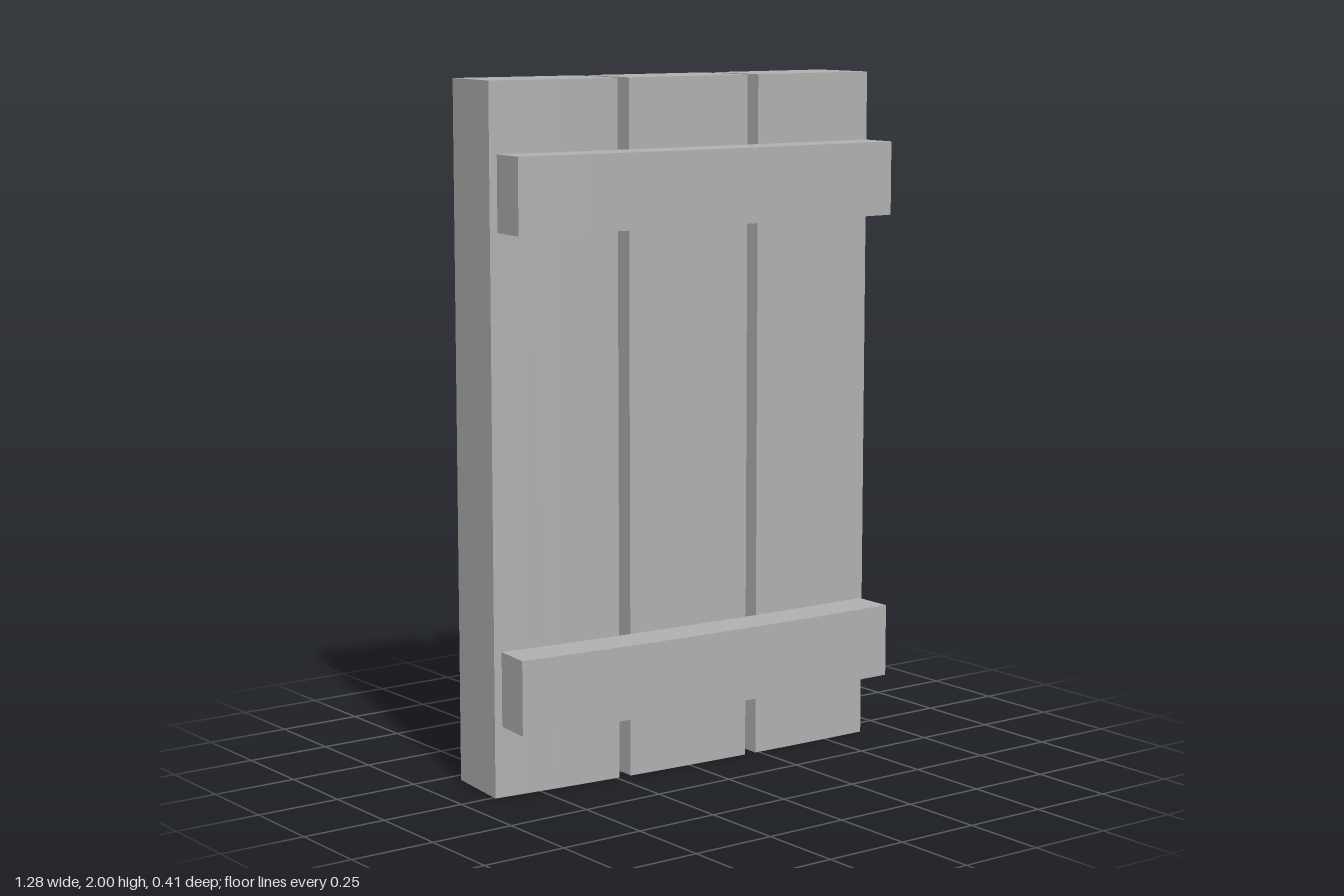
import * as THREE from 'three';

// Bend: every part follows arcs around one far centre behind the right end
const CX = 0.641, FRONT = 11.7, BACK = 11.483, OUTER = 11.823;
const CZ = 0.08 - FRONT;

// Solid between two radii and two angles, standing from y0 to y1
function curvedSlab(name, r0, r1, a0, a1, y0, y1, segments, material) {
  const points = [];
  const add = (r, a) => points.push(new THREE.Vector2(CX - r * Math.sin(a), -(CZ + r * Math.cos(a))));
  for (let i = 0; i <= segments; i++) add(r1, a0 + (a1 - a0) * i / segments);
  for (let i = segments; i >= 0; i--) add(r0, a0 + (a1 - a0) * i / segments);
  const geometry = new THREE.ExtrudeGeometry(new THREE.Shape(points), { depth: y1 - y0, bevelEnabled: false });
  geometry.rotateX(-Math.PI / 2);
  geometry.translate(0, y0, 0);
  const mesh = new THREE.Mesh(geometry, material);
  mesh.name = name;
  return mesh;
}

export function createModel() {
  const group = new THREE.Group();
  group.name = 'curvedPlankPanel';
  const grey = new THREE.MeshStandardMaterial({ color: 0xb0b0b0 });
  grey.name = 'plain grey';

  // Three upright planks with narrow gaps
  const width = 0.0345, pitch = 0.0377;
  ['leftPlank', 'middlePlank', 'rightPlank'].forEach((name, i) => {
    group.add(curvedSlab(name, BACK, FRONT, i * pitch, i * pitch + width, 0, 2, 4, grey));
  });

  // Two curved battens across the front
  [['lowerBatten', 0.204, 0.418], ['upperBatten', 1.587, 1.801]].forEach(([name, y0, y1]) => {
    group.add(curvedSlab(name, FRONT, OUTER, 0.0008, 0.1079, y0, y1, 12, grey));
  });
  return group;
}
